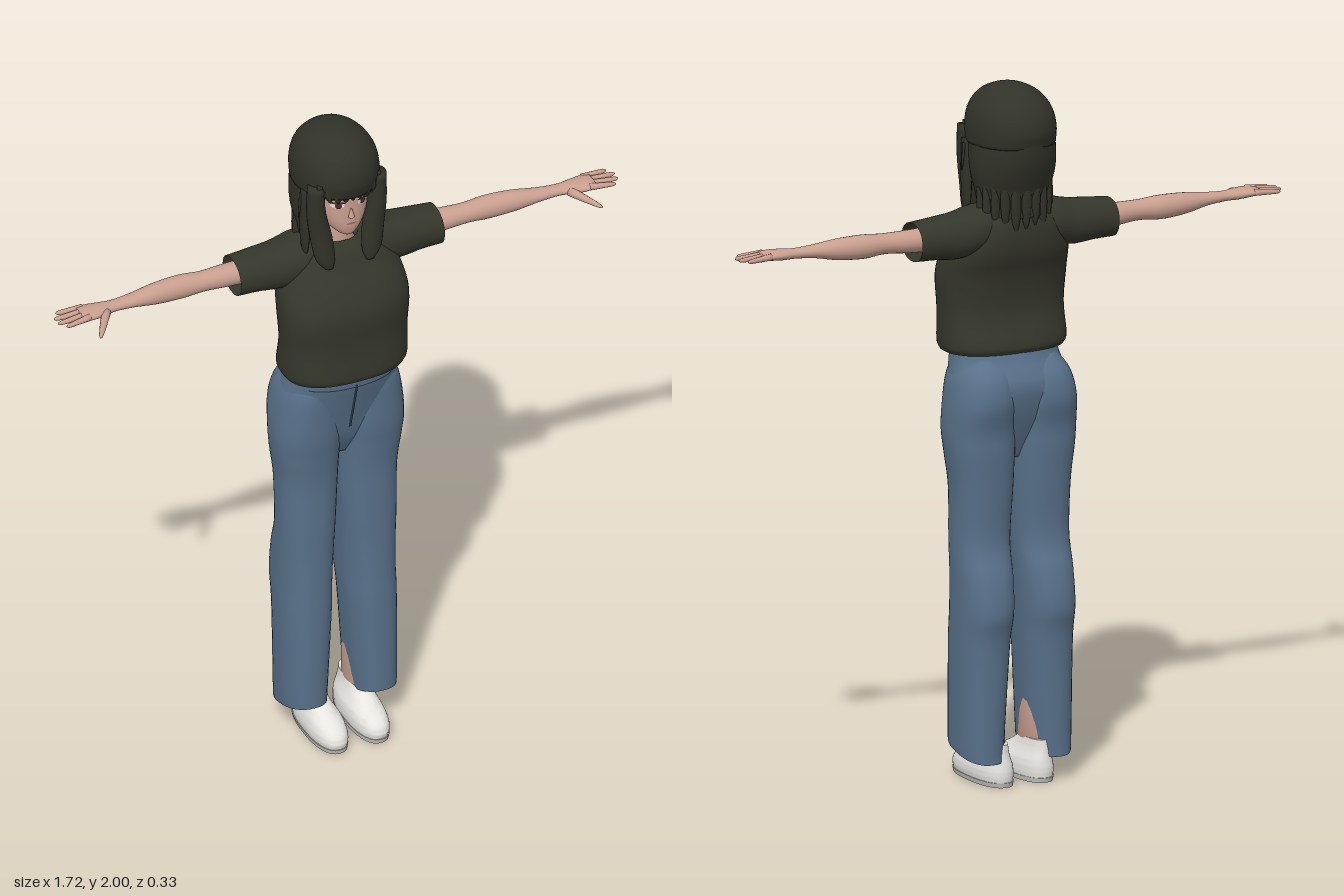
import * as THREE from 'three';
import { toCreasedNormals } from 'three/addons/utils/BufferGeometryUtils.js';

const mat = (name, color) => {
  const m = new THREE.MeshStandardMaterial({ color, side: THREE.DoubleSide });
  m.name = name;
  return m;
};

// Smooth skin through cross-sections [y, x0, x1, z0, z1, tilt]; tilt lifts the front edge.
function loft(sections, { seg = 36, steps = 5, p = 2, from = 0, to = Math.PI * 2, cap = true } = {}) {
  const n = sections.length, rows = (n - 1) * steps;
  const closed = to - from > 6.28, cols = closed ? seg : seg + 1;
  const flat = sections.flatMap(s => [...s, ...Array(6 - s.length).fill(0)]);
  const curve = new THREE.CubicInterpolant(sections.map((_, i) => i), flat, 6, new Float32Array(6));
  const pos = [], idx = [], pw = v => Math.sign(v) * Math.abs(v) ** (2 / p);
  for (let i = 0; i <= rows; i++) {
    const [y, x0, x1, z0, z1, tilt] = curve.evaluate(i / steps);
    for (let j = 0; j < cols; j++) {
      const a = from + (to - from) * j / seg, c = pw(Math.cos(a)), s = pw(Math.sin(a));
      pos.push((x0 + x1) / 2 + c * (x1 - x0) / 2, y + tilt * s, (z0 + z1) / 2 + s * (z1 - z0) / 2);
    }
  }
  for (let i = 0; i < rows; i++) for (let j = 0; j < seg; j++) {
    const k = (j + 1) % cols, a = i * cols + j, b = i * cols + k, c = a + cols, d = b + cols;
    idx.push(a, c, b, b, c, d);
  }
  if (cap && closed) for (const [i, top] of [[0, false], [rows, true]]) {
    const [y, x0, x1, z0, z1] = curve.evaluate(i / steps), o = pos.length / 3;
    pos.push((x0 + x1) / 2, y, (z0 + z1) / 2);
    for (let j = 0; j < seg; j++) {
      const a = i * cols + j, b = i * cols + (j + 1) % cols;
      idx.push(o, ...(top ? [b, a] : [a, b]));
    }
  }
  const g = new THREE.BufferGeometry();
  g.setAttribute('position', new THREE.Float32BufferAttribute(pos, 3));
  g.setIndex(idx);
  g.computeVertexNormals();
  return g;
}

// Loft running out along +x, sections [x, y0, y1, z0, z1]
const limb = (sections, opt) =>
  loft(sections.map(([x, y0, y1, z0, z1]) => [x, -y1, -y0, z0, z1]), opt).rotateZ(-Math.PI / 2);

function mirrored(geo) {
  const g = geo.index ? geo.toNonIndexed() : geo.clone();
  for (const at of [g.attributes.position, g.attributes.normal]) for (let i = 0; i < at.count; i += 3) {
    const v = [0, 1, 2].map(k => new THREE.Vector3().fromBufferAttribute(at, i + k));
    [0, 2, 1].forEach((s, k) => at.setXYZ(i + k, -v[s].x, v[s].y, v[s].z));
  }
  return g;
}

// Tapered round rod between two points
function rod(a, b, r0, r1) {
  const A = new THREE.Vector3(...a), d = new THREE.Vector3(...b).sub(A), L = d.length();
  const g = loft([[0, r0], [L * 0.5, (r0 + r1) / 2], [L * 0.9, r1], [L, r1 * 0.3]]
    .map(([y, r]) => [y, -r, r, -r, r]), { seg: 10, steps: 3 });
  g.applyQuaternion(new THREE.Quaternion().setFromUnitVectors(new THREE.Vector3(0, 1, 0), d.normalize()));
  return g.translate(A.x, A.y, A.z);
}

export function createModel() {
  const root = new THREE.Group();
  root.name = 'standingWoman';
  const skin = mat('skin', 0xc99f8f), shirt = mat('darkShirt', 0x35362b), hair = mat('darkHair', 0x313228);
  const denim = mat('denim', 0x587089), seam = mat('denimSeam', 0x2c3947), white = mat('shoeWhite', 0xe6e5e0);
  const sole = mat('soleGrey', 0xc4c3be), eyeWhite = mat('eyeWhite', 0xe9deda);
  const brown = mat('eyeBrown', 0x4a2b27), lip = mat('lips', 0xa26a62);
  const add = (name, geo, m) => {
    const mesh = new THREE.Mesh(geo, m);
    mesh.name = name;
    root.add(mesh);
    return mesh;
  };
  const pair = (name, geo, m) => { add(name + 'Left', geo, m); add(name + 'Right', mirrored(geo), m); };

  // Lays a flat shape on the front of a mesh
  const ray = new THREE.Raycaster();
  const decal = (target, geo, lift) => {
    const p = geo.attributes.position;
    for (let i = 0; i < p.count; i++) {
      ray.set(new THREE.Vector3(p.getX(i), p.getY(i), 2), new THREE.Vector3(0, 0, -1));
      const hit = ray.intersectObject(target)[0];
      p.setZ(i, (hit ? hit.point.z : 0) + lift);
    }
    geo.computeVertexNormals();
    return geo;
  };
  const oval = (x, y, rx, ry) => new THREE.CircleGeometry(1, 20).scale(rx, ry, 1).translate(x, y, 0);

  // Shoes, soles and ankles
  pair('shoe', toCreasedNormals(loft([[0.012, 0.012, 0.114, -0.108, 0.163], [0.035, 0.01, 0.117, -0.11, 0.165],
    [0.06, 0.014, 0.112, -0.107, 0.145], [0.08, 0.024, 0.105, -0.103, 0.1], [0.1, 0.032, 0.1, -0.1, 0.06],
    [0.12, 0.036, 0.096, -0.098, 0.03]], { p: 2.4 }), 0.8), white);
  pair('sole', toCreasedNormals(loft([[0, 0.012, 0.114, -0.108, 0.163], [0.014, 0.01, 0.117, -0.111, 0.166]],
    { p: 2.4, steps: 1 }), 0.8), sole);
  pair('ankle', loft([[0.08, 0.035, 0.096, -0.085, 0.045], [0.3, 0.035, 0.105, -0.08, 0.03]], { steps: 2 }), skin);

  // Wide trousers
  pair('trouserLeg', loft([[0.095, 0.042, 0.17, -0.11, 0.09, 0.025], [0.14, 0.04, 0.172, -0.11, 0.09, 0.015],
    [0.4, 0.024, 0.175, -0.118, 0.087], [0.5, 0.019, 0.175, -0.136, 0.083], [0.6, 0.015, 0.175, -0.122, 0.08],
    [0.7, 0.012, 0.175, -0.092, 0.08], [0.85, 0.004, 0.178, -0.098, 0.08], [0.95, 0, 0.19, -0.105, 0.09],
    [1.02, -0.003, 0.195, -0.108, 0.1], [1.1, 0, 0.189, -0.125, 0.105], [1.17, 0.006, 0.172, -0.112, 0.108],
    [1.22, 0.02, 0.14, -0.07, 0.1]], { p: 2.35, cap: false }), denim);
  const hips = add('trouserHips', loft([[0.93, -0.11, 0.11, -0.05, 0.04], [1, -0.17, 0.17, -0.08, 0.075],
    [1.08, -0.186, 0.186, -0.108, 0.098], [1.15, -0.176, 0.176, -0.118, 0.118], [1.21, -0.16, 0.16, -0.09, 0.134],
    [1.25, -0.152, 0.152, -0.075, 0.135]], { p: 2.3 }), denim);
  add('fly', decal(hips, new THREE.PlaneGeometry(0.008, 0.17, 1, 10).translate(0, 1.13, 0), 0.003), seam);
  add('waistSeam', decal(hips, new THREE.PlaneGeometry(0.26, 0.004, 24, 1).translate(0, 1.205, 0), 0.002), seam);

  // Loose T-shirt
  add('shirtBody', loft([[1.235, -0.178, 0.178, -0.08, 0.153], [1.26, -0.187, 0.187, -0.085, 0.158],
    [1.35, -0.186, 0.186, -0.062, 0.152], [1.45, -0.191, 0.191, -0.074, 0.158], [1.52, -0.183, 0.183, -0.1, 0.135],
    [1.58, -0.16, 0.16, -0.108, 0.1], [1.625, -0.125, 0.125, -0.1, 0.078, -0.004],
    [1.663, -0.062, 0.062, -0.072, 0.05, -0.014]], { p: 2.5, cap: false, seg: 48 }), shirt);
  pair('sleeve', limb([[0.04, 1.55, 1.662, -0.075, 0.045], [0.11, 1.53, 1.66, -0.09, 0.06],
    [0.18, 1.515, 1.645, -0.085, 0.055], [0.25, 1.52, 1.638, -0.08, 0.047], [0.312, 1.522, 1.632, -0.078, 0.045]],
    { p: 2.2, cap: false }), shirt);

  // Bare arms and hands
  pair('arm', limb([[0.1, 1.545, 1.62, -0.055, 0.02], [0.3, 1.548, 1.615, -0.055, 0.015],
    [0.4, 1.555, 1.613, -0.048, 0.013], [0.47, 1.55, 1.618, -0.052, 0.014], [0.55, 1.555, 1.615, -0.046, 0.015],
    [0.62, 1.568, 1.606, -0.034, 0.014], [0.68, 1.573, 1.602, -0.028, 0.014], [0.72, 1.573, 1.604, -0.033, 0.026],
    [0.76, 1.577, 1.604, -0.038, 0.034], [0.785, 1.582, 1.6, -0.036, 0.03]], { seg: 24 }), skin);
  [[-0.029, -0.038, 0.842], [-0.011, -0.013, 0.858], [0.007, 0.012, 0.857], [0.024, 0.034, 0.84]].forEach(
    ([z0, z1, x], i) => pair('finger' + (i + 1), rod([0.765, 1.592, z0], [x, 1.588, z1], 0.01, 0.006), skin));
  pair('thumb', rod([0.71, 1.586, 0.012], [0.768, 1.572, 0.103], 0.014, 0.006), skin);

  // Neck, head and face
  add('neck', loft([[1.6, -0.065, 0.065, -0.07, 0.045], [1.65, -0.047, 0.047, -0.055, 0.04],
    [1.76, -0.042, 0.042, -0.05, 0.035]]), skin);
  const head = add('head', loft([[1.69, -0.012, 0.012, 0.045, 0.083], [1.7, -0.03, 0.03, 0.01, 0.093],
    [1.725, -0.055, 0.055, -0.04, 0.1], [1.76, -0.074, 0.074, -0.075, 0.101], [1.81, -0.084, 0.084, -0.1, 0.1],
    [1.87, -0.086, 0.086, -0.11, 0.1], [1.93, -0.06, 0.06, -0.07, 0.06]], { p: 2.2 }), skin);
  add('nose', new THREE.ConeGeometry(0.01, 0.034, 10).scale(1, 1, 1.1).translate(0, 1.778, 0.1), skin);
  pair('ear', new THREE.SphereGeometry(0.02, 14, 10).scale(0.45, 1.3, 0.8).translate(0.085, 1.79, -0.01), skin);
  pair('eyeWhite', decal(head, oval(0.038, 1.803, 0.018, 0.009), 0.002), eyeWhite);
  pair('iris', decal(head, oval(0.037, 1.803, 0.009, 0.009), 0.004), brown);
  pair('upperLash', decal(head, oval(0.04, 1.813, 0.022, 0.0035), 0.005), brown);
  add('mouth', decal(head, oval(0, 1.739, 0.016, 0.003), 0.002), lip);

  // Hair: crown, back curtain, fringe and hanging locks
  add('hairCrown', loft([[1.835, -0.121, 0.121, -0.152, 0.12], [1.88, -0.121, 0.121, -0.161, 0.13],
    [1.93, -0.11, 0.11, -0.147, 0.12], [1.97, -0.081, 0.081, -0.112, 0.088], [1.992, -0.042, 0.042, -0.068, 0.04],
    [2, -0.004, 0.004, -0.02, -0.012]], { p: 2.1, seg: 48 }).translate(0, 0, 0), hair);
  add('hairBack', loft([[1.63, -0.1, 0.1, -0.112, 0.05], [1.69, -0.108, 0.108, -0.112, 0.06],
    [1.74, -0.12, 0.12, -0.13, 0.075], [1.79, -0.123, 0.123, -0.147, 0.095], [1.85, -0.12, 0.12, -0.155, 0.118]],
    { from: Math.PI * 0.86, to: Math.PI * 2.14, seg: 40 }), hair);
  let seed = 7;
  const rnd = () => (seed = (seed * 16807) % 2147483647) / 2147483647;
  const lock = (x, z, tip, top, w, d) => {
    const mid = (tip + top) / 2;
    return loft([[tip, 0.15], [tip + (mid - tip) * 0.4, 0.75], [mid, 1], [top, 0.9]]
      .map(([y, k]) => [y, x - w * k, x + w * k, z - d * k, z + d * k]), { seg: 10, steps: 3 });
  };
  for (let i = 0; i < 11; i++) {
    const a = Math.PI * (1.02 + 0.96 * i / 10);
    add('backLock' + (i + 1), lock(Math.cos(a) * 0.102, -0.03 + Math.sin(a) * 0.078, 1.575 + rnd() * 0.04,
      1.74, 0.016, 0.01), hair);
  }
  for (let i = 0; i < 9; i++) {
    const x = (i - 4) * 0.021;
    add('fringe' + (i + 1), lock(x, 0.113 - x * x * 4, 1.818 + rnd() * 0.008, 1.88, 0.015, 0.008), hair);
  }
  pair('frontLock', loft([[1.597, 0.05, 0.075, 0.08, 0.098], [1.63, 0.042, 0.1, 0.062, 0.1],
    [1.7, 0.048, 0.112, 0.045, 0.098], [1.78, 0.066, 0.12, 0.04, 0.098], [1.87, 0.072, 0.118, 0.04, 0.1]], { seg: 20 }), hair);
  pair('sideLock', lock(0.112, 0.035, 1.61, 1.84, 0.013, 0.024), hair);
  pair('looseStrand', rod([0.121, 1.83, 0.03], [0.13, 1.75, 0.03], 0.006, 0.002), hair);
  return root;
}
